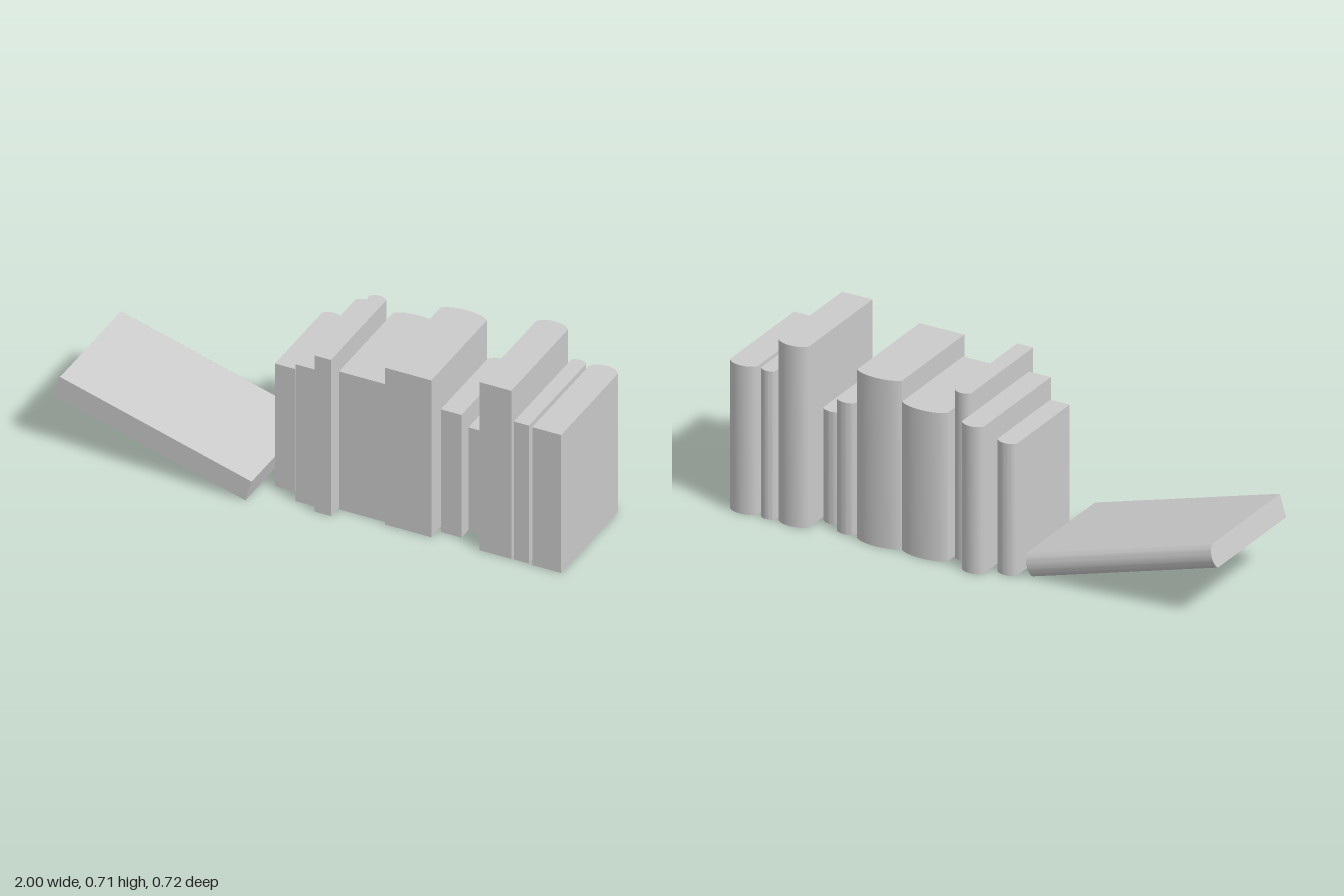
import * as THREE from 'three';
import { toCreasedNormals } from 'three/addons/utils/BufferGeometryUtils.js';

const YAW = 0.085; // the whole row is turned slightly
const material = new THREE.MeshStandardMaterial({ color: 0xcccccc });

// Closed book: flat front edge at z = 0, rounded spine towards -z, standing on y = 0.
// The origin is the front lower corner on the -x side.
function makeBook(name, width, depth, height) {
  const bulge = Math.min(0.026, width * 0.24);
  const body = depth - bulge;
  const crown = body + bulge * 4 / 3;
  const shape = new THREE.Shape();
  shape.moveTo(0, 0);
  shape.lineTo(width, 0);
  shape.lineTo(width, body);
  shape.bezierCurveTo(width * 0.8, crown, width * 0.2, crown, 0, body);
  shape.closePath();
  const geometry = new THREE.ExtrudeGeometry(shape, { depth: height, bevelEnabled: false, curveSegments: 14 });
  geometry.rotateX(-Math.PI / 2);
  const book = new THREE.Mesh(toCreasedNormals(geometry, 0.5), material);
  book.name = name;
  book.rotation.order = 'YZX';
  book.rotation.y = YAW;
  return book;
}

export function createModel() {
  const group = new THREE.Group();
  group.name = 'bookRow';

  // Upright books: front corner x, front corner z, width, depth, height
  const books = [
    [-0.163, 0.163, 0.08, 0.39, 0.52],
    [-0.05, 0.207, 0.09, 0.493, 0.58],
    [0.043, 0.23, 0.066, 0.452, 0.662],
    [0.11, 0.172, 0.187, 0.454, 0.585],
    [0.3, 0.17, 0.185, 0.465, 0.665],
    [0.495, 0.107, 0.082, 0.39, 0.52],
    [0.578, 0.055, 0.078, 0.297, 0.443],
    [0.675, 0.136, 0.126, 0.474, 0.713],
    [0.81, 0.123, 0.06, 0.465, 0.585],
    [0.885, 0.12, 0.115, 0.476, 0.585],
  ];
  books.forEach(([x, z, width, depth, height], i) => {
    const book = makeBook('uprightBook' + (i + 1), width, depth, height);
    book.position.set(x, 0, z);
    group.add(book);
  });

  // Fallen book, lying on its cover with the far end raised
  const fallen = makeBook('fallenBook', 0.09, 0.5, 0.794);
  fallen.rotation.z = Math.PI / 2 - 0.281;
  fallen.position.set(-0.204, 0, 0.297);
  group.add(fallen);

  return group;
}
